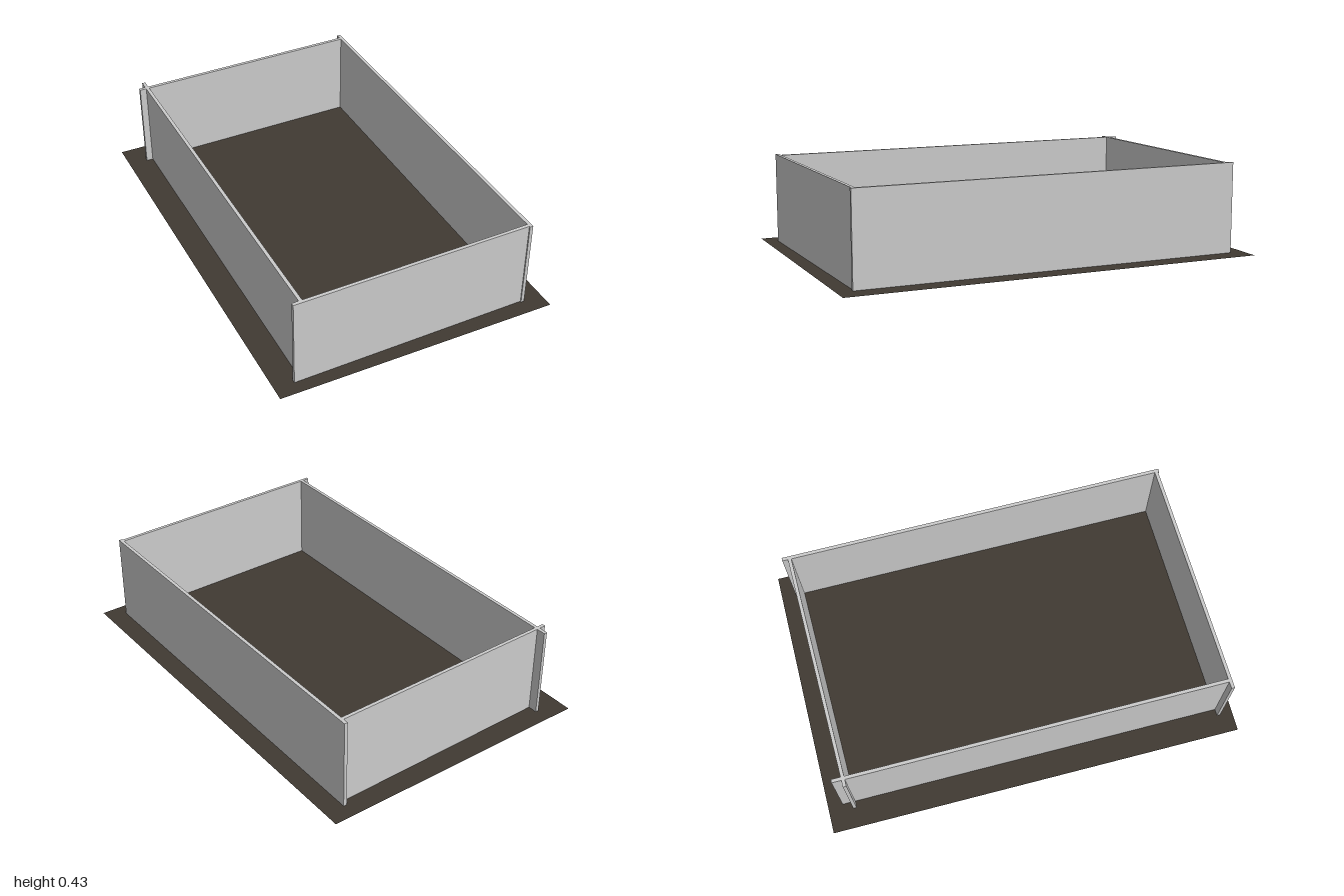
import * as THREE from 'three';

const HEIGHT = 0.43;
const THICK = 0.016;

export function createModel() {
  const group = new THREE.Group();
  const wallGrey = new THREE.MeshStandardMaterial({ color: 0xcccccc });
  wallGrey.name = 'wall grey';
  const floorBrown = new THREE.MeshStandardMaterial({ color: 0x403a33, side: THREE.DoubleSide });
  floorBrown.name = 'floor brown';

  // flat floor sheet
  const floor = new THREE.Mesh(new THREE.PlaneGeometry(1.34, 2), floorBrown);
  floor.rotation.x = -Math.PI / 2;
  floor.name = 'floor';
  group.add(floor);

  // upright slab running between two points on the ground
  function wall(name, x1, z1, x2, z2) {
    const length = Math.hypot(x2 - x1, z2 - z1);
    const mesh = new THREE.Mesh(new THREE.BoxGeometry(length, HEIGHT, THICK), wallGrey);
    mesh.position.set((x1 + x2) / 2, HEIGHT / 2 + 0.001, (z1 + z2) / 2);
    mesh.rotation.y = -Math.atan2(z2 - z1, x2 - x1);
    mesh.name = name;
    group.add(mesh);
  }

  // long side walls
  wall('leftWall', 0.569, -0.93, 0.569, 0.928);
  wall('rightWall', -0.537, -0.93, -0.537, 0.928);
  // slightly skewed end walls, overlapping the side walls at the corners
  wall('frontWall', -0.577, 0.932, 0.572, 0.914);
  wall('backWall', -0.577, -0.877, 0.572, -0.895);

  return group;
}
